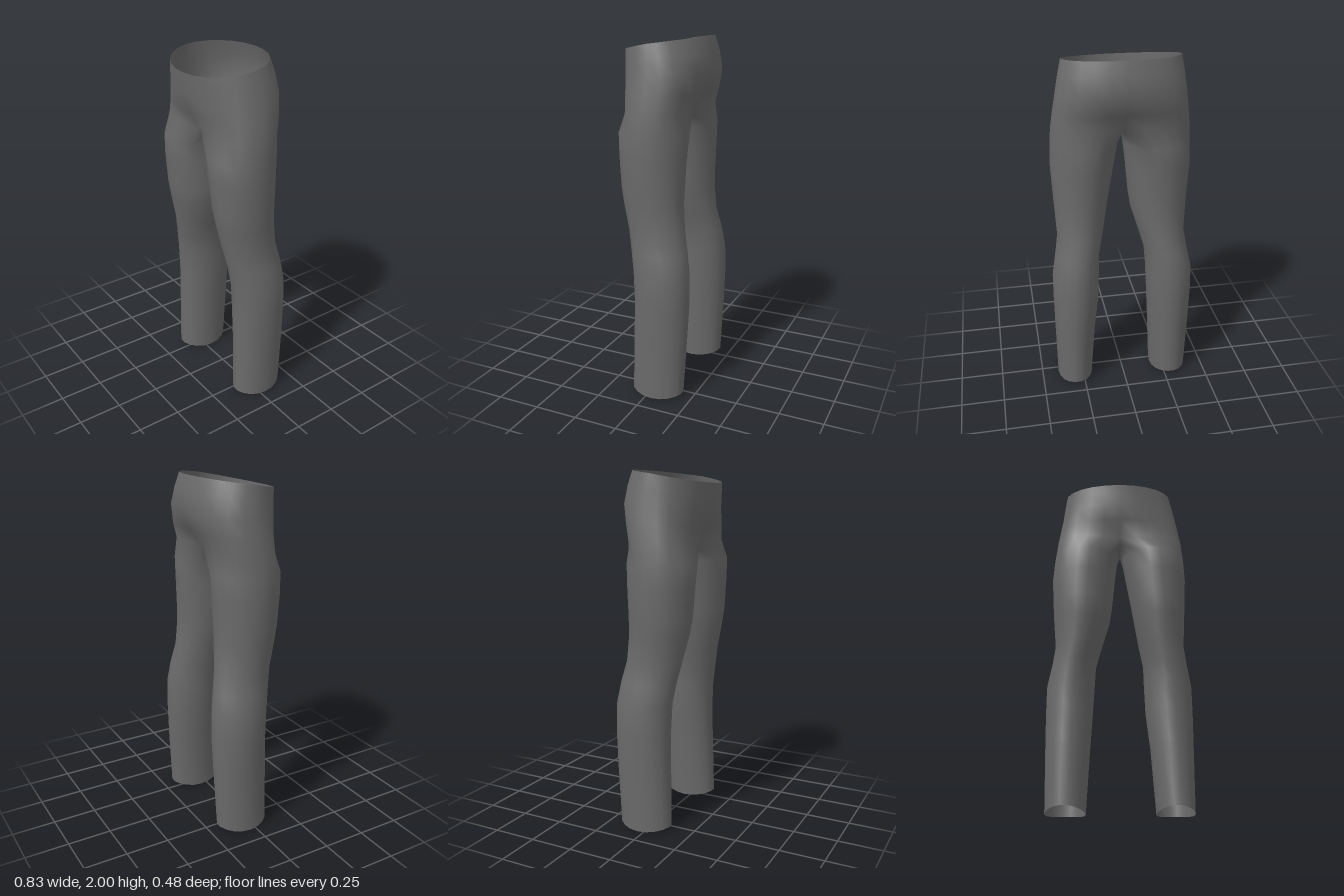
import * as THREE from 'three';

const HALF = 12;  // segments around each half of the hips
const SEAM = 6;   // segments along the crotch seam

// Hip rings: y front, y side, y back, right half width, left half width, z front, z back, front dent, back dent
const HIPS = [
  [1.925, 1.97, 2.0, 0.335, 0.312, 0.245, -0.205, 0, 0],
  [1.87, 1.89, 1.92, 0.347, 0.332, 0.238, -0.228, 0, 0],
  [1.80, 1.80, 1.82, 0.358, 0.350, 0.230, -0.244, 0, 0.006],
  [1.70, 1.70, 1.71, 0.372, 0.367, 0.222, -0.222, 0.015, 0.03],
  [1.61, 1.60, 1.62, 0.385, 0.381, 0.215, -0.19, 0.07, 0.07],
];

// Leg rings: y, right outer, right inner, left outer, left inner, z front, z back
const LEGS = [
  [1.50, 0.394, 0.016, 0.387, 0.014, 0.219, -0.170],
  [1.38, 0.402, 0.030, 0.391, 0.034, 0.212, -0.162],
  [1.20, 0.391, 0.046, 0.382, 0.066, 0.200, -0.156],
  [1.10, 0.384, 0.060, 0.377, 0.083, 0.183, -0.155],
  [0.96, 0.372, 0.102, 0.370, 0.108, 0.154, -0.168],
  [0.84, 0.390, 0.137, 0.388, 0.134, 0.132, -0.195],
  [0.72, 0.416, 0.144, 0.410, 0.138, 0.112, -0.211],
  [0.56, 0.416, 0.152, 0.411, 0.145, 0.106, -0.214],
  [0.36, 0.411, 0.163, 0.408, 0.168, 0.109, -0.207],
  [0.01, 0.400, 0.180, 0.402, 0.193, 0.117, -0.190],
];

export function createModel() {
  const points = [];
  const faces = [];
  const add = (x, y, z) => points.push(x, y, z) / 3 - 1;

  // Joins two closed loops of vertex numbers, upper to lower
  const bridge = (upper, lower) => upper.forEach((a, i) => {
    const j = (i + 1) % upper.length;
    faces.push(a, lower[i], lower[j], a, lower[j], upper[j]);
  });

  // Waist and hips, sunk toward the centre line near the crotch
  const hipRings = HIPS.map(([yf, ys, yb, right, left, zf, zb, df, db], level) => {
    const ring = [];
    const power = 1 - level * 0.07;
    for (let k = 0; k < HALF * 2; k++) {
      const a = (k * Math.PI) / HALF;
      const s = k % HALF === 0 ? 0 : Math.sin(a);
      const c = Math.cos(a);
      const front = c > 0;
      const mid = (zf + zb) / 2;
      const dent = (front ? df : -db) * (1 - Math.abs(s)) ** 2;
      const z = mid + Math.sign(c) * Math.abs(c) ** power * (zf - zb) / 2 - dent;
      ring.push(add(s * (s > 0 ? left : right), ys + ((front ? yf : yb) - ys) * Math.abs(c), z));
    }
    return ring;
  });
  for (let i = 1; i < hipRings.length; i++) bridge(hipRings[i - 1], hipRings[i]);

  // Crotch seam, running from back to front
  const hip = hipRings.at(-1);
  const seam = [];
  for (let i = 1; i < SEAM; i++) {
    const t = i / SEAM;
    seam.push(add(0, 1.615 - 0.045 * Math.sin(Math.PI * t), -0.12 + 0.265 * t));
  }

  // Legs: each starts from half the hip ring plus the seam
  for (const side of [1, -1]) {
    let previous = side > 0
      ? [...hip.slice(0, HALF + 1), ...seam]
      : [...hip.slice(HALF), hip[0], ...[...seam].reverse()];
    LEGS.forEach(([y, ro, ri, lo, li, zf, zb], level) => {
      const [outer, inner] = side > 0 ? [lo, li] : [ro, ri];
      const hem = level === LEGS.length - 1 ? 0.009 : 0;
      const ring = previous.map((_, i) => {
        const a = ((-30 + i * 20 + (side < 0 ? 180 : 0)) * Math.PI) / 180;
        return add(
          side * (outer + inner) / 2 + Math.sin(a) * (outer - inner) / 2,
          y + hem * Math.cos(2 * a),
          (zf + zb) / 2 + Math.cos(a) * (zf - zb) / 2);
      });
      bridge(previous, ring);
      previous = ring;
    });
  }

  const geometry = new THREE.BufferGeometry();
  geometry.setAttribute('position', new THREE.Float32BufferAttribute(points, 3));
  geometry.setIndex(faces);
  geometry.computeVertexNormals();

  const fabric = new THREE.MeshStandardMaterial({ color: 0x6a6a6a, side: THREE.DoubleSide });
  fabric.name = 'greyFabric';
  const trousers = new THREE.Mesh(geometry, fabric);
  trousers.name = 'trousers';

  const model = new THREE.Group();
  model.name = 'trousersModel';
  model.add(trousers);
  return model;
}
